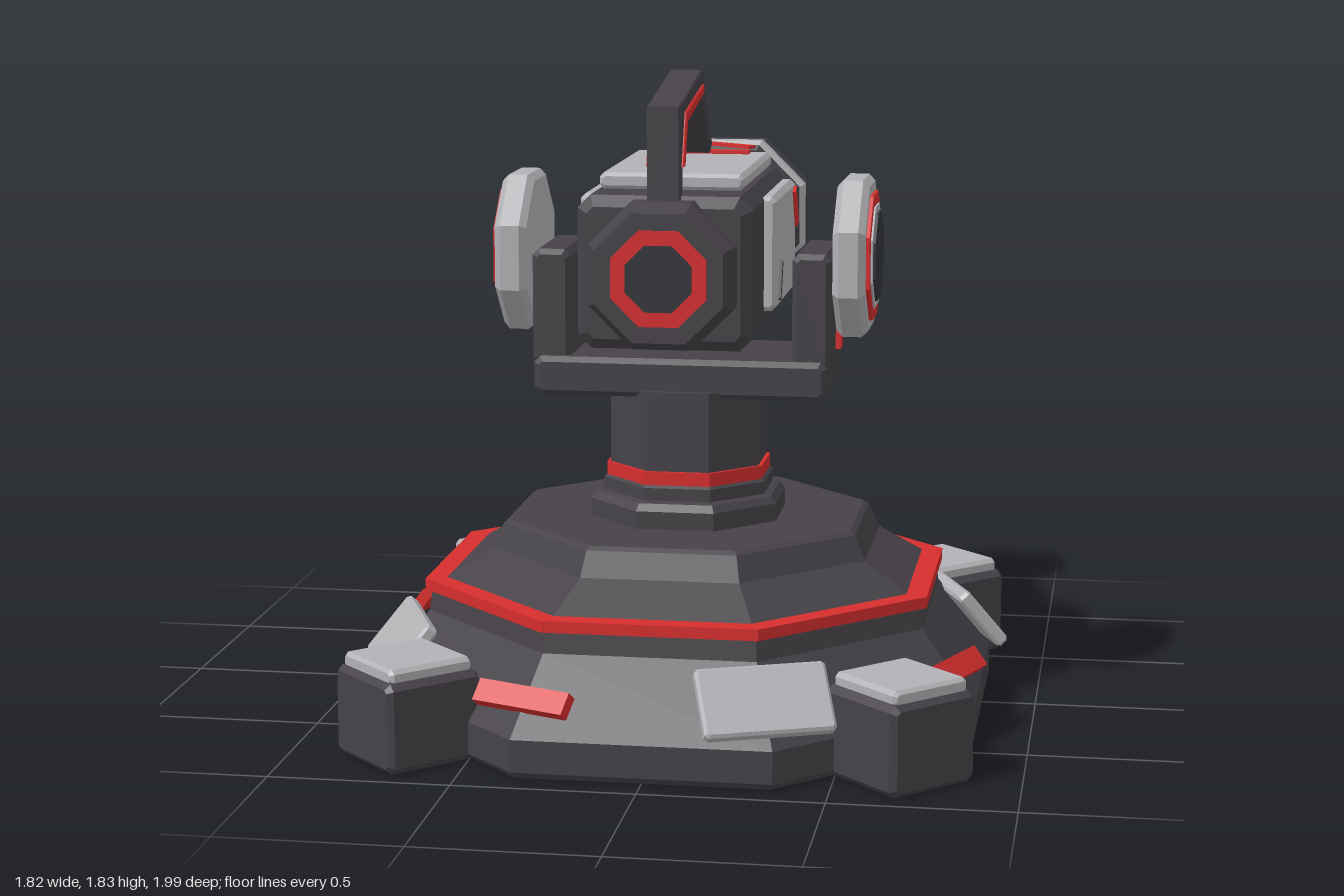
import * as THREE from 'three';

const paint = (name, color) => {
  const m = new THREE.MeshStandardMaterial({ color });
  m.name = name;
  return m;
};

export function createModel() {
  const dark = paint('dark metal', 0x464248);
  const inset = paint('charcoal inset', 0x34353a);
  const grey = paint('light grey', 0xb2b2b6);
  const red = paint('signal red', 0xd62e2e);

  const model = new THREE.Group();
  model.name = 'turret';
  const CZ = 0.08; // z of the pedestal axis
  const AY = 1.31; // height of the barrel axis

  const add = (parent, name, geo, mat, x = 0, y = 0, z = 0) => {
    const m = new THREE.Mesh(geo, mat);
    m.name = name;
    m.position.set(x, y, z);
    parent.add(m);
    return m;
  };

  // extrude a polygon symmetrically about z = 0, with an optional bevel
  const slab = (pts, depth, b = 0) => {
    const shape = new THREE.Shape(pts.map(p => new THREE.Vector2(...p)));
    const g = new THREE.ExtrudeGeometry(shape, {
      depth: depth - 2 * b, bevelEnabled: b > 0, bevelThickness: b, bevelSize: b, bevelSegments: 1,
    });
    return g.translate(0, 0, b - depth / 2);
  };

  // box with chamfered edges
  const box = (w, h, d, b = 0) => {
    if (!b) return new THREE.BoxGeometry(w, h, d);
    const x = w / 2 - b, y = h / 2 - b, c = b * 0.6;
    return slab([[-x + c, -y], [x - c, -y], [x, -y + c], [x, y - c],
      [x - c, y], [-x + c, y], [-x, y - c], [-x, -y + c]], d, b);
  };

  // faceted octagonal turning; radii are measured to the flats
  const octagon = (...profile) => {
    const k = 1 / Math.cos(Math.PI / 8);
    const pts = profile.map(([r, y]) => new THREE.Vector2(r * k, y));
    const lathe = new THREE.LatheGeometry(pts, 8, Math.PI / 8).toNonIndexed();
    lathe.computeVertexNormals();
    return lathe;
  };
  const disc = (r, y0, y1, b = 0) => b
    ? octagon([0, y0], [r - b, y0], [r, y0 + b], [r, y1 - b], [r - b, y1], [0, y1])
    : octagon([0, y0], [r, y0], [r, y1], [0, y1]);

  // stepped base
  const base = new THREE.Group();
  base.name = 'base';
  base.position.z = CZ;
  model.add(base);
  add(base, 'baseBody', octagon([0, 0], [0.83, 0], [0.85, 0.02], [0.85, 0.11], [0.7, 0.31], [0.69, 0.38],
    [0.655, 0.4], [0.53, 0.48], [0.5, 0.55], [0.485, 0.56], [0, 0.56]), dark);
  add(base, 'baseTrim', disc(0.71, 0.37, 0.402), red);

  // feet and sloping plates, repeated four times round the base
  for (let i = 0; i < 4; i++) {
    const quarter = new THREE.Group();
    quarter.name = 'baseQuarter';
    quarter.rotation.y = i * Math.PI / 2;
    base.add(quarter);
    const spoke = a => {
      const g = new THREE.Group();
      g.rotation.y = a;
      quarter.add(g);
      return g;
    };
    const foot = spoke(Math.PI / 4);
    foot.name = 'foot';
    add(foot, 'footBlock', box(0.29, 0.25, 0.29, 0.015), dark, 0, 0.125, 0.95);
    add(foot, 'footCap', box(0.255, 0.045, 0.255, 0.01), grey, 0, 0.263, 0.95);
    const armour = spoke(Math.PI / 8);
    armour.name = 'armour';
    add(armour, 'armourPlate', box(0.36, 0.2, 0.04, 0.008), grey, 0, 0.225, 0.84).rotation.x = -0.7;
    const marker = spoke(-Math.PI / 8);
    marker.name = 'marker';
    add(marker, 'markerStrip', box(0.285, 0.065, 0.035), red, 0, 0.207, 0.855).rotation.x = -0.7;
  }

  // pedestal column
  add(model, 'columnFoot', octagon([0, 0.56], [0.265, 0.56], [0.265, 0.61], [0.25, 0.63],
    [0.23, 0.635], [0.23, 0.67], [0.21, 0.685], [0, 0.685]), dark, 0, 0, CZ);
  add(model, 'column', disc(0.212, 0.66, 0.94), dark, 0, 0, CZ);
  add(model, 'columnRing', disc(0.222, 0.677, 0.715), red, 0, 0, CZ);

  // yoke with arms and side discs
  add(model, 'yokeBar', box(0.83, 0.11, 0.38, 0.015), dark, 0, 0.975, CZ);
  for (const s of [1, -1]) {
    add(model, 'yokeArm', box(0.11, 0.33, 0.32, 0.015), dark, s * 0.368, 1.165, CZ);
    add(model, 'yokeTab', box(0.025, 0.05, 0.055), red, s * 0.425, 1.07, CZ);
    const hub = new THREE.Group();
    hub.name = 'sideDisc';
    hub.position.set(0, AY, 0.075);
    hub.rotation.z = -s * Math.PI / 2;
    model.add(hub);
    add(hub, 'discPlate', disc(0.22, 0.43, 0.52, 0.018), grey);
    add(hub, 'discRing', disc(0.175, 0.51, 0.53), red);
    add(hub, 'discCollar', disc(0.142, 0.51, 0.535), grey);
    add(hub, 'discCentre', disc(0.122, 0.51, 0.542), inset);
  }

  // head
  const head = new THREE.Group();
  head.name = 'head';
  model.add(head);
  add(head, 'headBody', box(0.48, 0.42, 0.79, 0.03), dark, 0, AY, 0.14);
  const nose = new THREE.Group();
  nose.name = 'frontCap';
  nose.position.y = AY;
  nose.rotation.x = Math.PI / 2;
  head.add(nose);
  add(nose, 'capBody', octagon([0, 0.5], [0.2, 0.5], [0.2, 0.57], [0.175, 0.62], [0, 0.62]), dark);
  add(nose, 'capRing', disc(0.13, 0.61, 0.624), red);
  add(nose, 'capCentre', disc(0.09, 0.61, 0.627), inset);
  add(head, 'topPlate', box(0.4, 0.045, 0.59, 0.01), grey, 0, 1.545, 0.1);

  // red chevron and bar on the top
  add(head, 'topBar', box(0.29, 0.009, 0.04), red, 0, 1.574, -0.12);
  for (const s of [1, -1]) {
    add(head, 'topChevron', box(0.16, 0.009, 0.03), red, s * 0.078, 1.583, -0.213).rotation.y = -s * 0.55;
    add(head, 'sidePanel', box(0.05, 0.32, 0.44, 0.012), grey, s * 0.25, 1.335, 0.06);
    add(head, 'sideSlash', box(0.009, 0.12, 0.03), red, s * 0.28, 1.42, -0.122).rotation.x = 0.5;
    add(head, 'sideMark', box(0.009, 0.11, 0.02), inset, s * 0.279, 1.255, 0.22).rotation.x = -0.4;
  }

  // carrying handle, drawn in the side plane
  const sideways = (name, pts, width, mat) => {
    const flipped = pts.map(([z, y]) => [-z, y]);
    add(head, name, slab(flipped, width, 0.004), mat).rotation.y = Math.PI / 2;
  };
  sideways('handle', [[0.53, 1.5], [0.53, 1.76], [0.13, 1.825], [0.105, 1.82], [-0.06, 1.605], [-0.03, 1.585],
    [0.125, 1.77], [0.44, 1.72], [0.485, 1.6], [0.485, 1.5]], 0.09, dark);
  sideways('handleLiner', [[0.5, 1.6], [0.445, 1.738], [0.135, 1.785], [0.135, 1.766],
    [0.43, 1.715], [0.478, 1.6]], 0.104, red);

  // barrel, running to the back
  const barrel = new THREE.Group();
  barrel.name = 'barrel';
  barrel.position.y = AY;
  barrel.rotation.x = -Math.PI / 2;
  model.add(barrel);
  add(barrel, 'barrelTube', disc(0.15, 0.2, 0.76), dark);
  add(barrel, 'barrelCollar', disc(0.172, 0.365, 0.515, 0.012), grey);
  add(barrel, 'barrelBand', disc(0.182, 0.4, 0.475), red);
  add(barrel, 'muzzleBack', disc(0.215, 0.735, 0.79, 0.012), dark);
  add(barrel, 'muzzleCollar', disc(0.228, 0.765, 0.83, 0.012), grey);
  add(barrel, 'muzzle', disc(0.22, 0.82, 0.962, 0.025), dark);
  add(barrel, 'muzzleRing', disc(0.135, 0.95, 0.971), red);
  add(barrel, 'muzzleLens', octagon([0, 0.96], [0.085, 0.96], [0.08, 0.98], [0.05, 0.995], [0, 1]), grey);

  return model;
}
